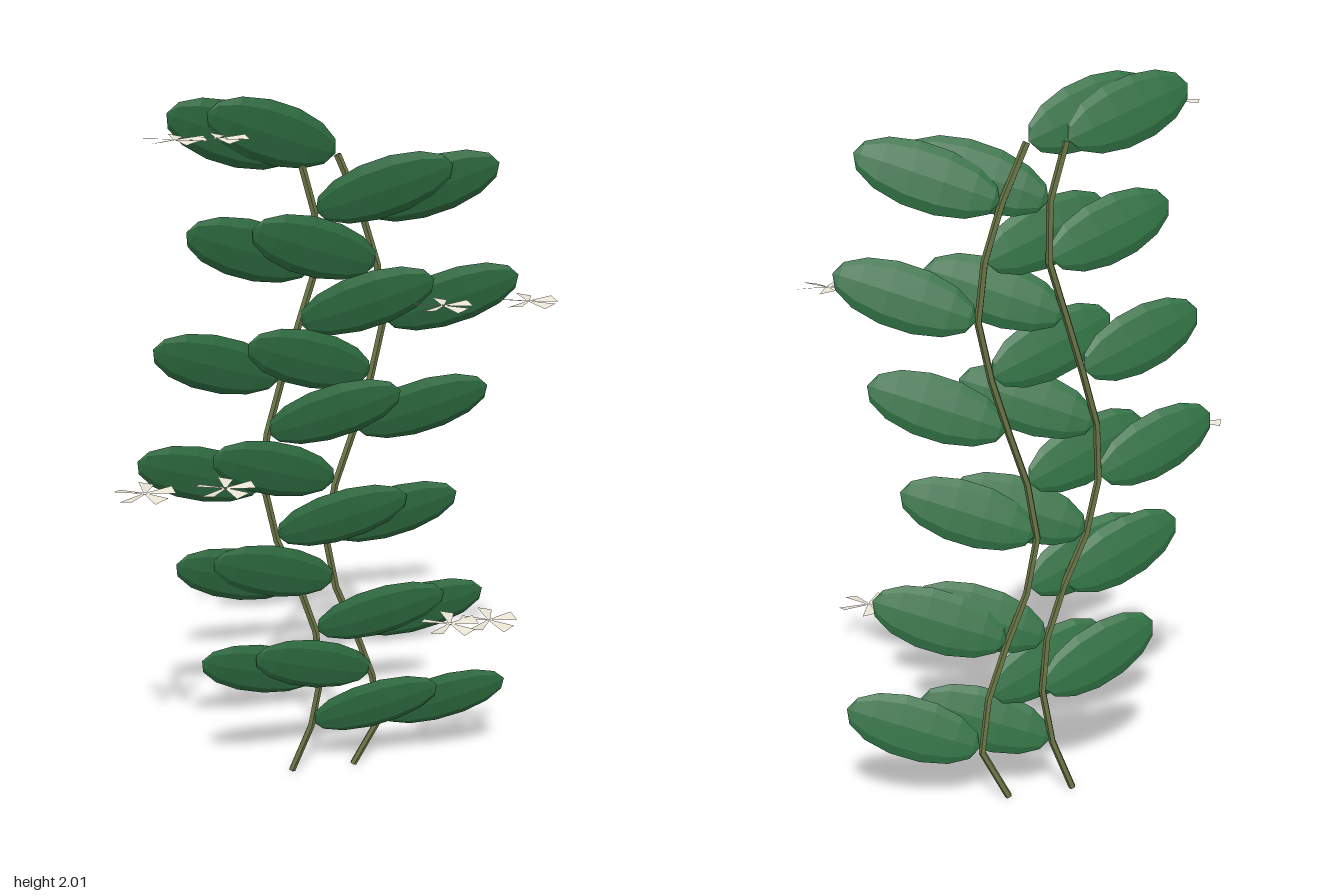
import * as THREE from 'three';

const stemMat = new THREE.MeshStandardMaterial({ color: 0x6a7646, flatShading: true, side: THREE.DoubleSide });
const leafMat = new THREE.MeshStandardMaterial({ color: 0x2f6f42, flatShading: true });
const petalMat = new THREE.MeshStandardMaterial({ color: 0xece5d6, flatShading: true, side: THREE.DoubleSide });

// Stem nodes: x of both vines and the shared z, from the foot upward
const VINES = [
  [-0.10, -0.04, -0.015, -0.03, -0.08, -0.145, -0.175, -0.165, -0.12, -0.07, -0.02, -0.02, -0.06],
  [0.09, 0.167, 0.14, 0.085, 0.025, 0.0, 0.03, 0.085, 0.135, 0.17, 0.155, 0.11, 0.045],
];
const DEPTH = [-0.13, -0.12, -0.113, -0.108, -0.106, -0.107, -0.111, -0.118, -0.126, -0.134, -0.143, -0.15, -0.157];
const nodeY = (i) => (i === 0 ? 0.004 : 0.16 + 0.153 * (i - 1));

// Faceted lens-shaped leaf, rising outward and swept forward; side is +1 or -1
function leafGeometry(side) {
  const g = new THREE.SphereGeometry(1, 8, 7);
  g.rotateZ(Math.PI / 2);
  g.scale(0.195, 0.087, 0.017);
  g.rotateZ(side * 0.35);
  g.rotateX(0.28);
  g.rotateY(-side * 0.14);
  g.translate(side * 0.183, 0.067, 0.043);
  return g;
}

// Five wedge petals, each slightly twisted
function flowerGeometry() {
  const pos = [], idx = [];
  for (let i = 0; i < 5; i++) {
    const a = (i / 5) * Math.PI * 2 + 1.42;
    const c = Math.cos(a), s = Math.sin(a);
    const corners = [[0.004, -0.004, 0], [0.08, -0.021, -0.004], [0.08, 0.021, 0.004], [0.004, 0.004, 0]];
    for (const [r, w, y] of corners) pos.push(r * c - w * s, y, -(r * s + w * c));
    const b = i * 4;
    idx.push(b, b + 1, b + 2, b, b + 2, b + 3);
  }
  const g = new THREE.BufferGeometry();
  g.setAttribute('position', new THREE.Float32BufferAttribute(pos, 3));
  g.setIndex(idx);
  g.computeVertexNormals();
  return g;
}

export function createModel() {
  const model = new THREE.Group();
  model.name = 'climbingVines';
  const rightward = leafGeometry(1), leftward = leafGeometry(-1);

  VINES.forEach((xs, v) => {
    const vine = new THREE.Group();
    vine.name = 'vine' + (v + 1);
    const nodes = xs.map((x, i) => new THREE.Vector3(x, nodeY(i), DEPTH[i]));

    // Stem
    const curve = new THREE.CatmullRomCurve3(nodes);
    const stem = new THREE.Mesh(new THREE.TubeGeometry(curve, 12, 0.0105, 5), stemMat);
    stem.name = 'stem';
    vine.add(stem);

    // Leaves alternate from side to side
    nodes.slice(1).forEach((p, k) => {
      const leaf = new THREE.Mesh(k % 2 ? leftward : rightward, leafMat);
      leaf.name = 'leaf';
      leaf.position.copy(p);
      vine.add(leaf);
    });
    model.add(vine);
  });

  // Flowers in pairs, lying flat in front of the leaf tips
  const petals = flowerGeometry();
  const flowers = [
    [0.32, 0.545, 0.09], [0.435, 0.545, 0.09],
    [-0.53, 1.003, 0.083], [-0.315, 1.003, 0.087],
    [0.29, 1.463, 0.05], [0.53, 1.463, 0.05],
    [-0.415, 1.922, 0.037], [-0.308, 1.922, 0.037],
  ];
  for (const [x, y, z] of flowers) {
    const flower = new THREE.Mesh(petals, petalMat);
    flower.name = 'flower';
    flower.position.set(x, y, z);
    model.add(flower);
  }
  return model;
}
